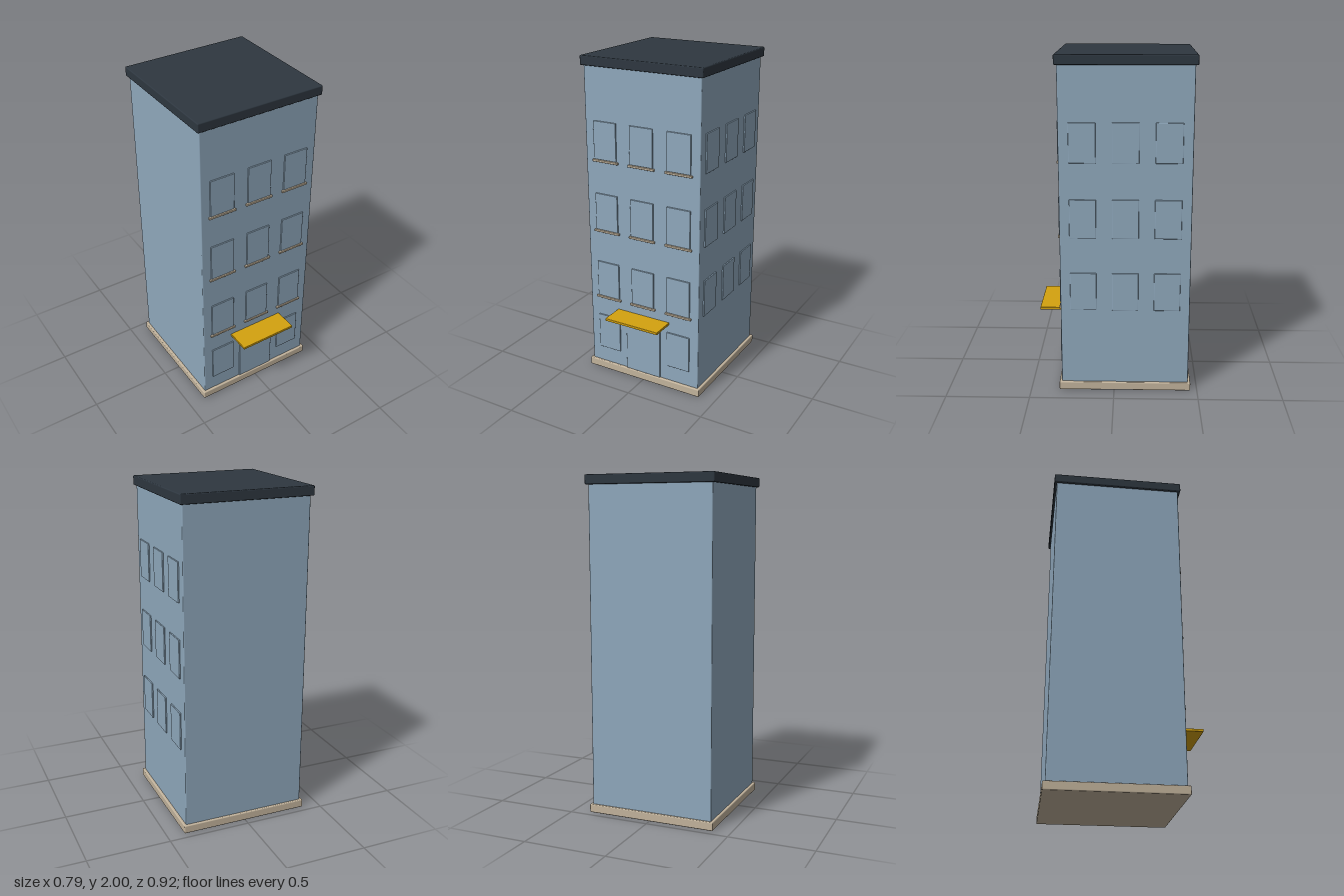
import * as THREE from 'three';
import { RoundedBoxGeometry } from 'three/addons/geometries/RoundedBoxGeometry.js';

const mat = (name, color) => {
  const m = new THREE.MeshStandardMaterial({ color });
  m.name = name;
  return m;
};

export function createModel() {
  const group = new THREE.Group();
  const wall = mat('blue grey wall', 0x8fa8bc);
  const stone = mat('pale stone', 0xc2b39c);
  const slate = mat('dark slate', 0x2e3740);
  const yellow = mat('yellow awning', 0xd4a20f);

  // Rounded block given by its min and max on each axis
  function block(name, material, [x0, x1], [y0, y1], [z0, z1], radius) {
    const geo = new RoundedBoxGeometry(x1 - x0, y1 - y0, z1 - z0, 2, radius);
    const mesh = new THREE.Mesh(geo, material);
    mesh.position.set((x0 + x1) / 2, (y0 + y1) / 2, (z0 + z1) / 2);
    mesh.name = name;
    group.add(mesh);
  }

  // Main masses
  const midZ = -0.065, frontZ = 0.315, sideX = 0.38;
  const slab = [-0.395, 0.395], slabZ = [midZ - 0.395, midZ + 0.395];
  block('base', stone, slab, [0, 0.05], slabZ, 0.006);
  block('walls', wall, [-sideX, sideX], [0.045, 1.95], [midZ - 0.38, frontZ], 0.006);
  block('roof', slate, slab, [1.944, 2], slabZ, 0.006);

  // Upper windows on the front (with sills) and on one side
  const columns = [-0.245, 0, 0.245], half = 0.077;
  for (const y of [0.515, 0.957, 1.399]) {
    for (const c of columns) {
      block('frontWindow', wall, [c - half, c + half], [y, y + 0.23], [frontZ - 0.01, frontZ + 0.008], 0.003);
      block('windowSill', stone, [c - 0.088, c + 0.088], [y - 0.015, y - 0.002], [frontZ - 0.01, frontZ + 0.013], 0.003);
      const z = midZ + c;
      block('sideWindow', wall, [sideX - 0.01, sideX + 0.008], [y, y + 0.23], [z - half, z + half], 0.003);
    }
  }

  // Ground floor
  for (const c of [columns[0], columns[2]]) {
    block('shopWindow', wall, [c - half, c + half], [0.15, 0.38], [frontZ - 0.01, frontZ + 0.008], 0.003);
  }
  block('door', wall, [-0.12, 0.12], [0.05, 0.4], [frontZ - 0.01, frontZ + 0.008], 0.003);
  block('awning', yellow, [-0.182, 0.182], [0.43, 0.446], [frontZ - 0.01, 0.46], 0.003);
  return group;
}
